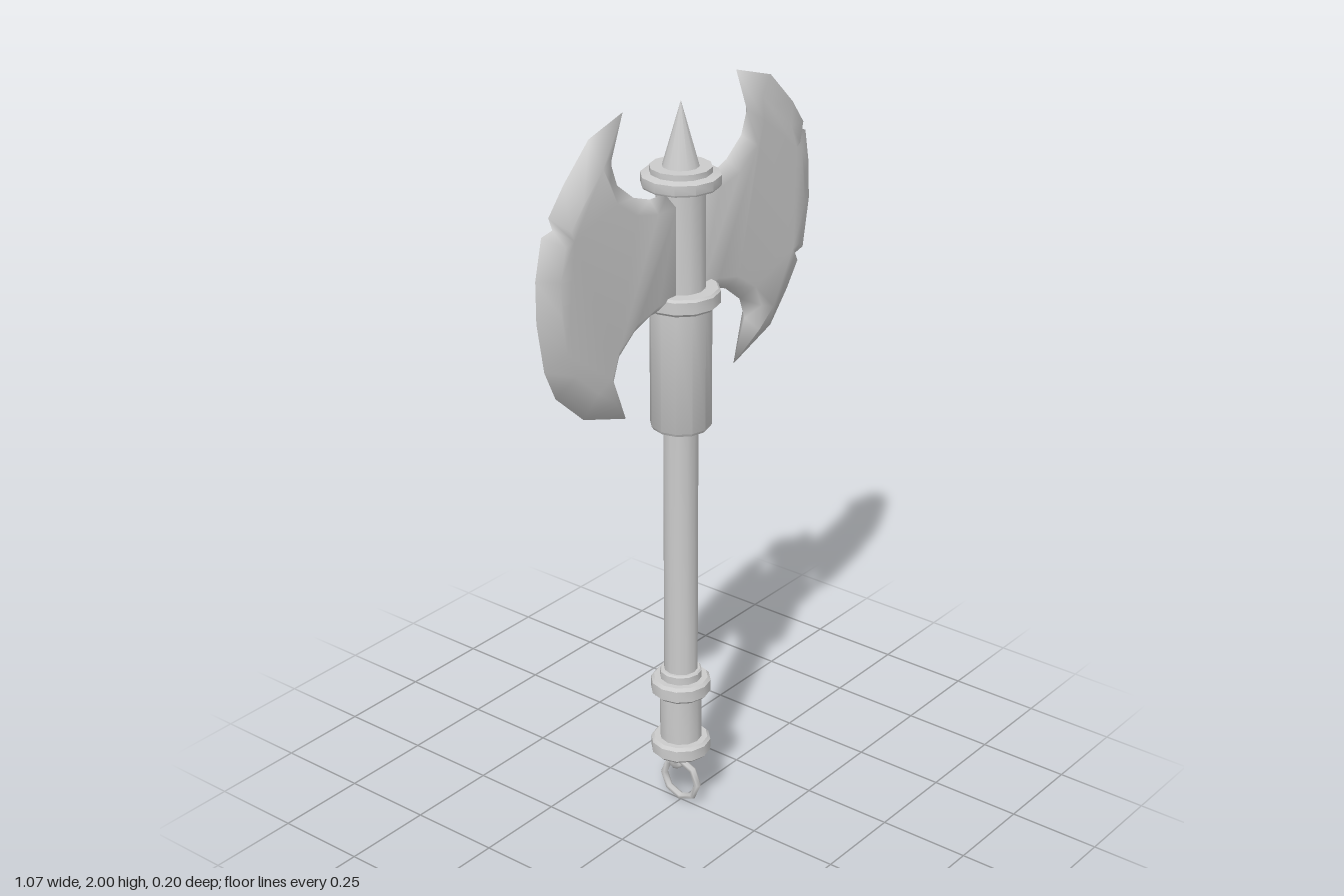
import * as THREE from 'three';
import { toCreasedNormals } from 'three/addons/utils/BufferGeometryUtils.js';

const material = new THREE.MeshStandardMaterial({ color: 0xcccccc });
const MID_Y = 1.608; // height of the blades' centre line
const HALF_THICK = 0.028;

function addMesh(group, name, geometry) {
  const mesh = new THREE.Mesh(geometry, material);
  mesh.name = name;
  group.add(mesh);
  return mesh;
}

// Turned part from a bottom-to-top profile of [radius, y]
function turned(group, name, profile) {
  const points = profile.map(([r, y]) => new THREE.Vector2(r, y));
  return addMesh(group, name, toCreasedNormals(new THREE.LatheGeometry(points, 12), 0.7));
}

// Flat ring with chamfered rims; bevels are the lower and upper chamfer sizes
function collar(group, name, r, y0, y1, lower, upper) {
  turned(group, name, [
    [0, y0], [r - lower, y0], [r, y0 + lower], [r, y1 - upper], [r - upper, y1], [0, y1],
  ]);
}

// Lower neck and horn: rim x, y followed by ridge x, y
const HORN = [
  [0.05, 1.46, 0.05, 1.49],
  [0.12, 1.458, 0.12, 1.49],
  [0.18, 1.437, 0.2, 1.47],
  [0.24, 1.39, 0.272, 1.42],
  [0.262, 1.33, 0.298, 1.36],
  [0.217, 1.217, 0.29, 1.295],
];

// Blade: a sharp rim at z = 0 rising to a flat plate on both faces
function bladeGeometry(side, cuttingEdge) {
  const edge = cuttingEdge.map(([x, y]) => [
    x, y, 0.25 + (x - 0.25) * 0.8, MID_Y + (y - MID_Y) * 0.8,
  ]);
  const upperHorn = HORN.map(([x, y, rx, ry]) => [x, 2 * MID_Y - y, rx, 2 * MID_Y - ry]).reverse();
  const outline = [...HORN, ...edge, ...upperHorn].map(([x, y, rx, ry]) => [x * side, y, rx * side, ry]);
  if (side < 0) outline.reverse();

  const n = outline.length;
  const positions = [];
  outline.forEach(([x, y]) => positions.push(x, y, 0));
  outline.forEach(([, , x, y]) => positions.push(x, y, HALF_THICK));
  outline.forEach(([, , x, y]) => positions.push(x, y, -HALF_THICK));

  const index = [];
  for (let i = 0; i < n; i++) {
    const j = (i + 1) % n;
    index.push(i, j, n + j, i, n + j, n + i);
    index.push(j, i, 2 * n + i, j, 2 * n + i, 2 * n + j);
  }
  const ridge = outline.map(([, , x, y]) => new THREE.Vector2(x, y));
  for (const [a, b, c] of THREE.ShapeUtils.triangulateShape(ridge, [])) {
    index.push(n + a, n + b, n + c, 2 * n + c, 2 * n + b, 2 * n + a);
  }
  const geometry = new THREE.BufferGeometry();
  geometry.setAttribute('position', new THREE.Float32BufferAttribute(positions, 3));
  geometry.setIndex(index);
  geometry.computeVertexNormals();
  return geometry;
}

export function createModel() {
  const group = new THREE.Group();
  group.name = 'doubleBladedAxe';

  // Handle
  turned(group, 'shaft', [[0.045, 0.38], [0.045, 1.15]]);
  turned(group, 'sleeve', [[0, 1.122], [0.074, 1.122], [0.079, 1.13], [0.079, 1.46]]);

  // Pommel
  collar(group, 'pommelBase', 0.08, 0.16, 0.206, 0.008, 0.008);
  turned(group, 'pommelGrip', [[0.056, 0.2], [0.056, 0.35]]);
  collar(group, 'pommelCollar', 0.08, 0.343, 0.39, 0.008, 0.008);
  collar(group, 'pommelCap', 0.056, 0.385, 0.415, 0.002, 0.004);

  // Axe head core
  collar(group, 'lowerHeadCollar', 0.1, 1.453, 1.498, 0.008, 0.006);
  turned(group, 'headPost', [[0.062, 1.48], [0.062, 1.78]]);
  turned(group, 'upperHeadCollar', [
    [0, 1.763], [0.097, 1.763], [0.1, 1.768], [0.1, 1.792], [0.078, 1.797], [0.078, 1.812], [0, 1.812],
  ]);
  turned(group, 'topSpike', [[0.047, 1.81], [0, 1.975]]);

  // Blades with nicked cutting edges, listed from bottom to top
  addMesh(group, 'leftBlade', bladeGeometry(1, [
    [0.375, 1.275], [0.445, 1.355], [0.49, 1.42], [0.475, 1.443], [0.512, 1.452], [0.535, 1.58],
    [0.53, 1.68], [0.513, 1.77], [0.485, 1.782], [0.503, 1.795], [0.455, 1.86], [0.36, 1.953],
  ]));
  addMesh(group, 'rightBlade', bladeGeometry(-1, [
    [0.375, 1.27], [0.475, 1.36], [0.512, 1.44], [0.535, 1.57],
    [0.535, 1.675], [0.511, 1.775], [0.472, 1.782], [0.485, 1.815], [0.43, 1.88], [0.34, 1.965],
  ]));

  // Hanging loop under the pommel
  const staple = addMesh(group, 'staple', new THREE.TorusGeometry(0.04, 0.008, 6, 8, Math.PI));
  staple.rotation.z = Math.PI;
  staple.position.y = 0.15;
  addMesh(group, 'stapleLegLeft', new THREE.CylinderGeometry(0.008, 0.008, 0.02, 6)).position.set(0.04, 0.158, 0);
  addMesh(group, 'stapleLegRight', new THREE.CylinderGeometry(0.008, 0.008, 0.02, 6)).position.set(-0.04, 0.158, 0);
  const ring = addMesh(group, 'hangingRing', new THREE.TorusGeometry(0.057, 0.01, 6, 8));
  ring.rotation.y = Math.PI / 2;
  ring.position.y = 0.067;

  return group;
}
